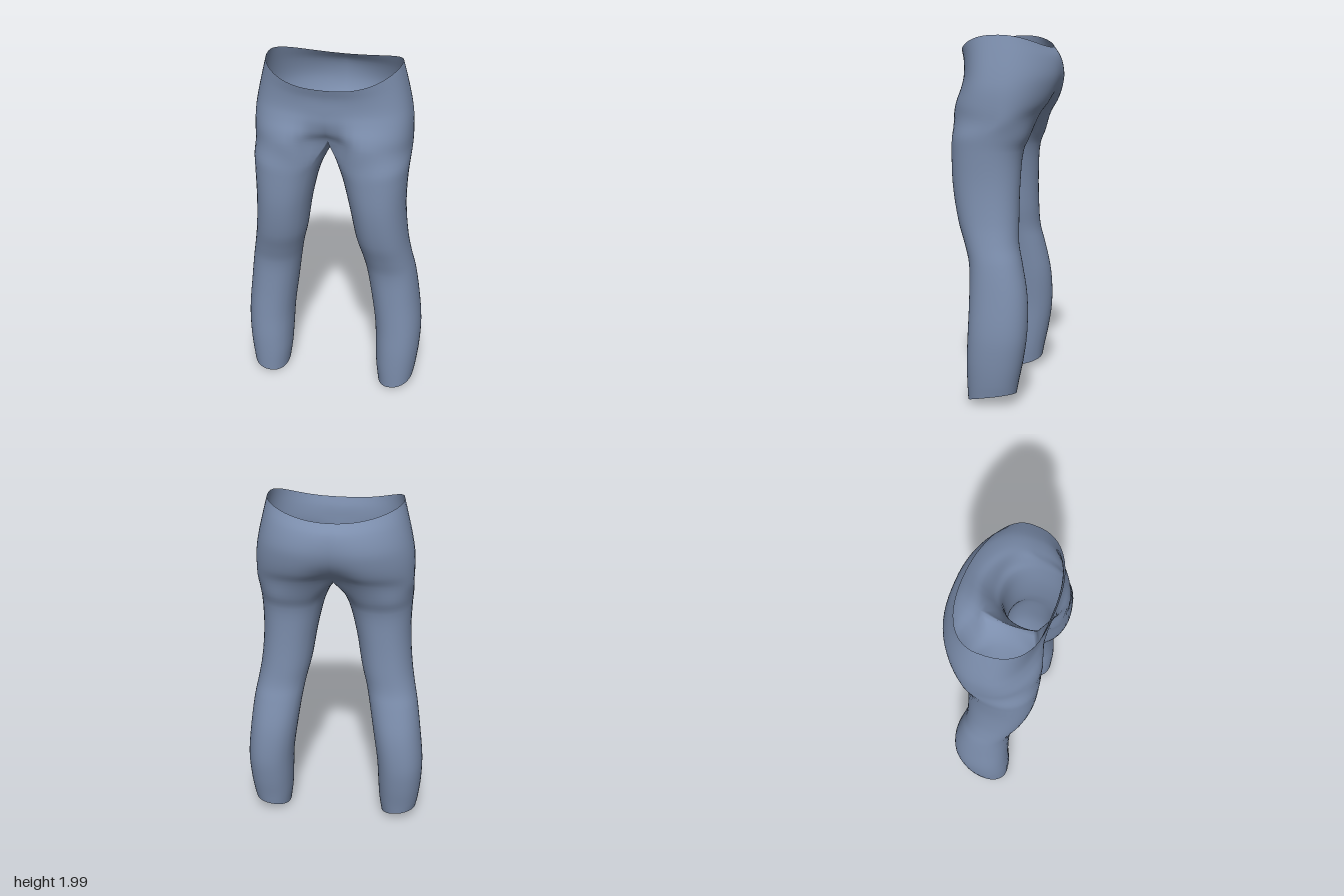
import * as THREE from 'three';
import { mergeVertices } from 'three/addons/utils/BufferGeometryUtils.js';

const M = 32;          // columns round the outside, front seam to back seam
const K = 14;          // columns round the inner leg
const SUB = 4;         // smooth steps between two cross-sections
const ALPHA = 0.85;    // how far the outer columns wrap round to the inner leg

// Pelvis: y front/side/back, half width, z front/back, centre dip front/back
const PELVIS = [
  [1.908, 2.0, 1.935, 0.365, 0.262, -0.222, 0, 0],
  [1.85, 1.9, 1.88, 0.39, 0.247, -0.262, 0, 0],
  [1.77, 1.79, 1.79, 0.415, 0.245, -0.285, 0, 0.01],
  [1.71, 1.71, 1.71, 0.428, 0.262, -0.275, 0.02, 0.02],
  [1.65, 1.62, 1.64, 0.432, 0.29, -0.25, 0.07, 0.045],
  [1.59, 1.54, 1.58, 0.43, 0.305, -0.21, 0.125, 0.07],
];

// Leg: y, inner x, outer x, z front, z back
const LEG = [
  [1.46, 0.035, 0.428, 0.281, -0.142],
  [1.38, 0.068, 0.422, 0.282, -0.11],
  [1.2, 0.112, 0.418, 0.273, -0.096],
  [1.0, 0.146, 0.433, 0.236, -0.095],
  [0.88, 0.176, 0.453, 0.195, -0.1],
  [0.78, 0.196, 0.473, 0.167, -0.122],
  [0.6, 0.224, 0.497, 0.16, -0.156],
  [0.4, 0.251, 0.516, 0.164, -0.16],
  [0.25, 0.259, 0.512, 0.17, -0.14],
  [0.13, 0.266, 0.499, 0.169, -0.115],
  [0.042, 0.28, 0.487, 0.164, -0.103],
];

const spow = (v, e) => Math.sign(v) * Math.pow(Math.abs(v), e);

function pelvisPoint([yF, yS, yB, w, zF, zB, dF, dB], j) {
  const t = (j / M) * Math.PI;
  const c = Math.cos(t), front = c > 0;
  const e = 2 / (front ? 2.6 : 2.1);
  const x = j === 0 || j === M ? 0 : w * Math.pow(Math.sin(t), e);
  const dip = Math.exp(-((x / 0.12) ** 2));
  const z = front
    ? zF * Math.pow(c, e) - dF * dip
    : zB * Math.pow(-c, e) + dB * dip;
  return new THREE.Vector3(x, yS + ((front ? yF : yB) - yS) * c * c, z);
}

function legPoint([y, xi, xo, zF, zB], j, isHem) {
  const a = j <= M
    ? -ALPHA + (j / M) * (Math.PI + 2 * ALPHA)
    : Math.PI + ALPHA + ((j - M) / K) * (Math.PI - 2 * ALPHA);
  const s = Math.sin(a), c = Math.cos(a), e = 2 / 2.2;
  // the hem is cut low at the front and the inside
  const cut = isHem ? 0.025 * -c + 0.02 * s : 0;
  return new THREE.Vector3(
    (xi + xo) / 2 + ((xo - xi) / 2) * spow(s, e),
    y + cut,
    (zF + zB) / 2 + ((zF - zB) / 2) * spow(c, e)
  );
}

// Crotch seam on the centre plane, from back (j = M) to front (j = M + K)
function seamPoint(j) {
  const split = PELVIS[PELVIS.length - 1];
  const f = (j - M) / K;
  const p = pelvisPoint(split, M).lerp(pelvisPoint(split, 0), f);
  p.y -= 0.058 * Math.pow(Math.sin(Math.PI * f), 0.8);
  return p;
}

function buildTrousers() {
  const splitRow = (PELVIS.length - 1) * SUB;
  const lastRow = splitRow + LEG.length * SUB;
  const columns = M + K;

  // One smooth vertical curve per column
  const grid = [];
  for (let j = 0; j < columns; j++) {
    const outer = j <= M;
    const pts = outer ? PELVIS.map((r) => pelvisPoint(r, j)) : [seamPoint(j)];
    LEG.forEach((r, i) => pts.push(legPoint(r, j, i === LEG.length - 1)));
    const curve = new THREE.CatmullRomCurve3(pts);
    const first = outer ? 0 : splitRow;
    grid[j] = [];
    for (let i = first; i <= lastRow; i++) {
      const p = curve.getPoint((i - first) / (lastRow - first));
      p.x = i <= splitRow && (j === 0 || j >= M) ? 0 : Math.max(0, p.x);
      grid[j][i] = p;
    }
  }

  // Left half and its mirror image
  const pos = [], index = [];
  for (const side of [1, -1]) {
    const tri = (a, b, c) => {
      for (const p of side > 0 ? [a, b, c] : [a, c, b]) {
        index.push(index.length);
        pos.push(side * p.x, p.y, p.z);
      }
    };
    for (let j = 0; j < columns; j++) {
      const A = grid[j], B = grid[(j + 1) % columns];
      for (let i = j < M ? 0 : splitRow; i < lastRow; i++) {
        tri(A[i + 1], B[i + 1], B[i]);
        tri(A[i + 1], B[i], A[i]);
      }
    }
  }
  const geo = new THREE.BufferGeometry();
  geo.setAttribute('position', new THREE.Float32BufferAttribute(pos, 3));
  geo.setIndex(index);
  const welded = mergeVertices(geo, 1e-5);
  welded.computeVertexNormals();
  return welded;
}

export function createModel() {
  const group = new THREE.Group();
  group.name = 'trousers';
  const cloth = new THREE.MeshStandardMaterial({ color: 0x7d8fae, side: THREE.DoubleSide });
  const mesh = new THREE.Mesh(buildTrousers(), cloth);
  mesh.name = 'trouserCloth';
  group.add(mesh);
  return group;
}
